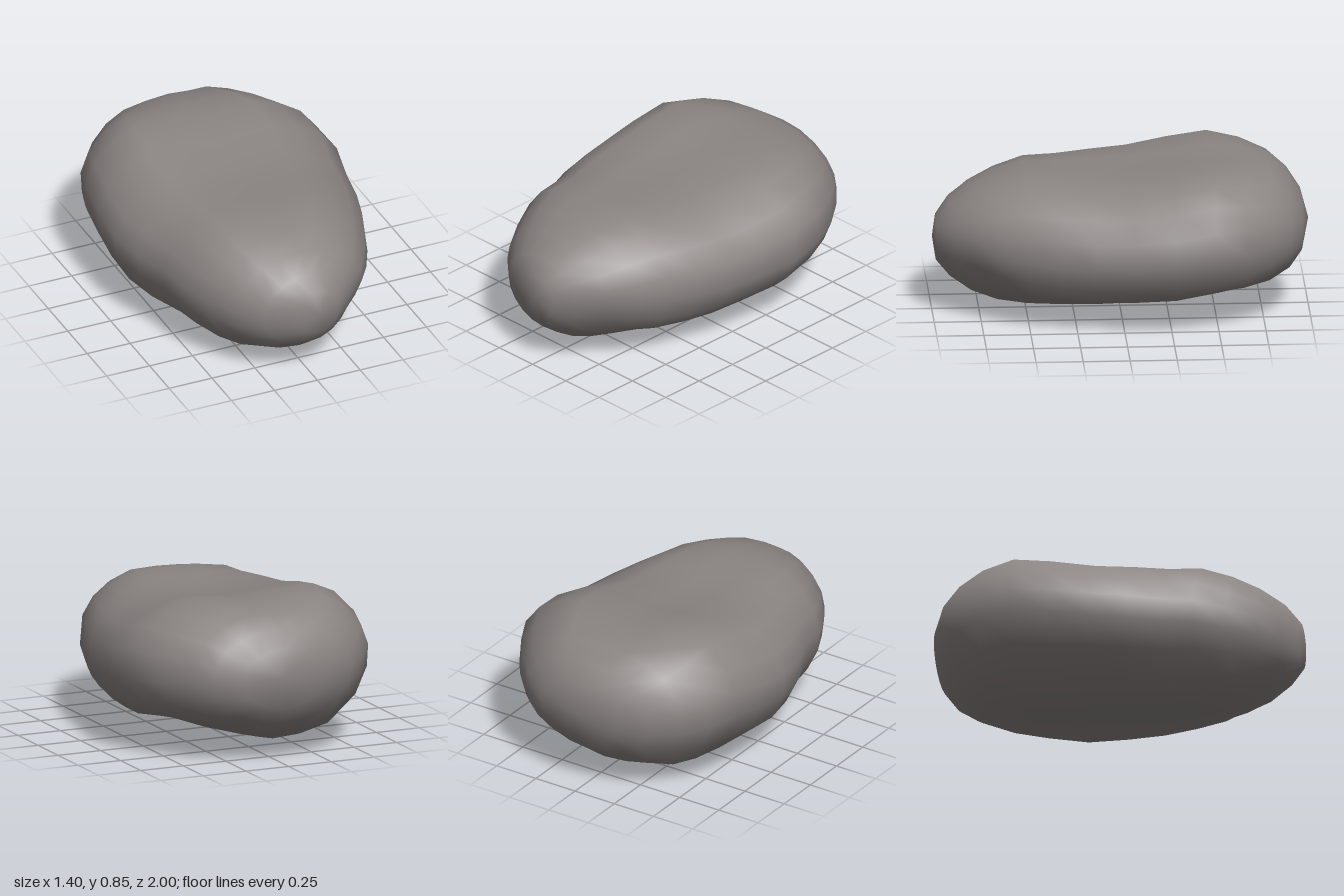
import * as THREE from 'three';
import { mergeVertices } from 'three/addons/utils/BufferGeometryUtils.js';

// Rock cross-section: x from -1 to 1, y from 0 to 1, anticlockwise from the +x side
const SECTION = [
  [1, .48], [.99, .68], [.86, .82], [.66, .92], [.45, .98], [.08, .95], [-.25, .98],
  [-.57, 1], [-.74, .94], [-.92, .79], [-1, .64], [-1, .48], [-.9, .27], [-.62, .06],
  [-.35, .01], [-.11, 0], [.19, .08], [.5, .18], [.77, .22], [.89, .31],
];

// Stations from front to back: z, min x, max x, bottom, top, roundness of the section
const STATIONS = [
  [1.0, .02, .02, .41, .41, 1],
  [.98, -.1, .14, .28, .53, 1],
  [.91, -.27, .24, .19, .61, 1],
  [.80, -.39, .37, .11, .69, .9],
  [.66, -.48, .45, .05, .745, .7],
  [.50, -.56, .52, .02, .78, .55],
  [.33, -.59, .58, .01, .775, .4],
  [.15, -.66, .63, 0, .775, .3],
  [-.05, -.70, .66, 0, .78, .2],
  [-.27, -.70, .70, .01, .82, .1],
  [-.48, -.68, .67, .04, .85, .05],
  [-.65, -.63, .59, .07, .83, .25],
  [-.79, -.53, .49, .13, .80, .6],
  [-.89, -.42, .39, .21, .73, .9],
  [-.96, -.24, .25, .31, .63, 1],
  [-1.0, .02, .02, .48, .48, 1],
];

// Soft hollow low on the front left side
const HOLLOW = new THREE.Vector3(.3, .27, .75);
const PUSH = new THREE.Vector3(-.03, .02, -.035);

function rockGeometry() {
  const n = SECTION.length, positions = [], index = [];
  for (const [z, x0, x1, y0, y1, round] of STATIONS) {
    SECTION.forEach(([u, v], i) => {
      const a = (i / n) * Math.PI * 2;
      const su = THREE.MathUtils.lerp(u, Math.cos(a), round);
      const sv = THREE.MathUtils.lerp(v, .5 + .5 * Math.sin(a), round);
      const p = new THREE.Vector3((x0 + x1) / 2 + su * (x1 - x0) / 2, y0 + sv * (y1 - y0), z);
      p.addScaledVector(PUSH, Math.exp(-p.distanceToSquared(HOLLOW) / .03));
      positions.push(p.x, p.y, p.z);
    });
  }
  for (let s = 0; s < STATIONS.length - 1; s++) {
    for (let i = 0; i < n; i++) {
      const a = s * n + i, b = s * n + (i + 1) % n;
      if (s > 0) index.push(a, a + n, b);
      if (s < STATIONS.length - 2) index.push(b, a + n, b + n);
    }
  }
  // The front cap loses its first triangles above and closes to one tip here
  const geometry = new THREE.BufferGeometry();
  geometry.setAttribute('position', new THREE.Float32BufferAttribute(positions, 3));
  geometry.setIndex(index);
  const merged = mergeVertices(geometry, 1e-4);
  merged.computeVertexNormals();
  return merged;
}

export function createModel() {
  const stone = new THREE.MeshStandardMaterial({ color: 0x8a8482 });
  stone.name = 'stone grey';
  const group = new THREE.Group();
  group.name = 'boulder';
  const rock = new THREE.Mesh(rockGeometry(), stone);
  rock.name = 'rock';
  group.add(rock);
  return group;
}
